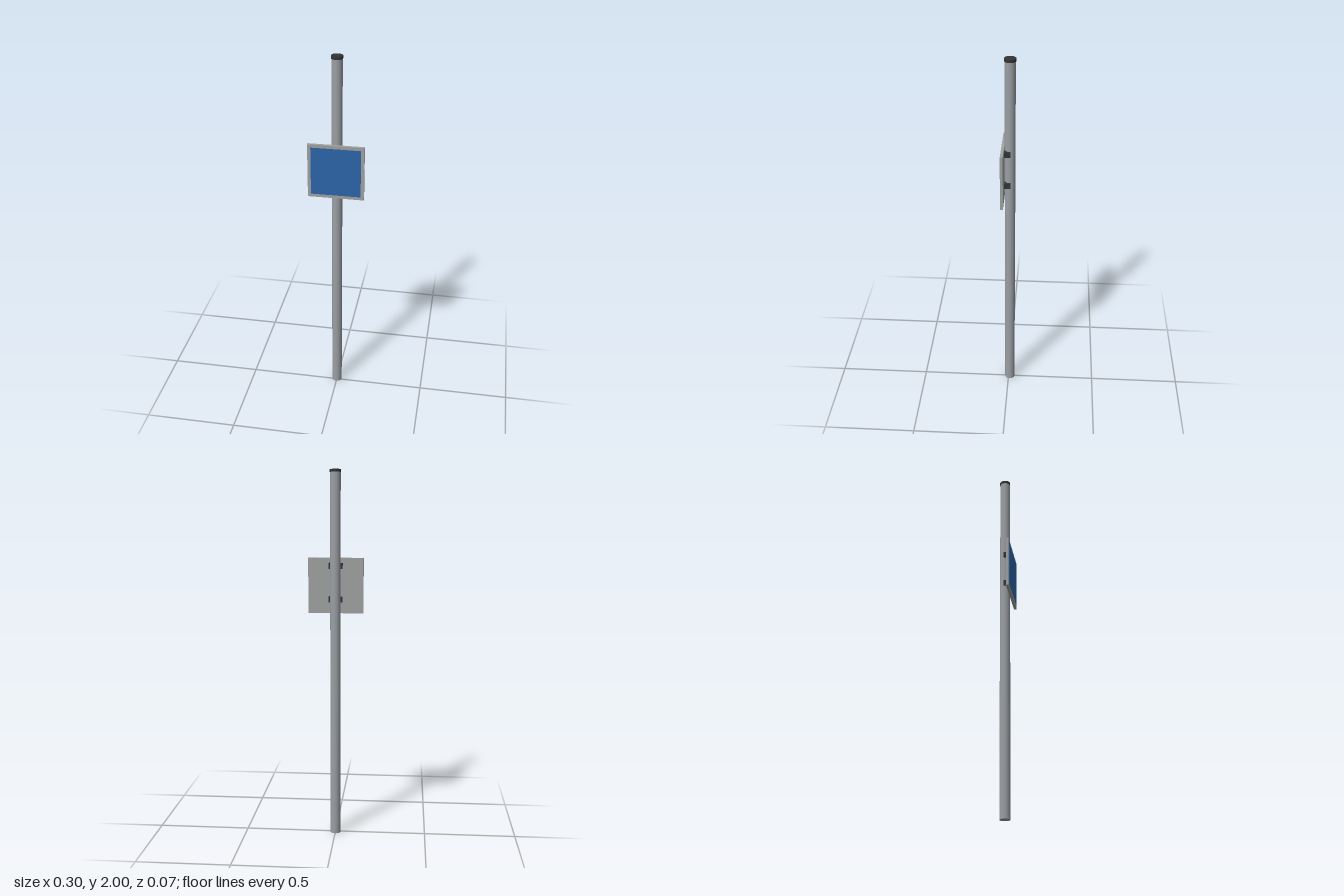
import * as THREE from 'three';

const POLE_Z = -0.008;

export function createModel() {
  const model = new THREE.Group();
  model.name = 'signPost';

  const material = (color) => new THREE.MeshStandardMaterial({ color });
  const steel = material(0x9a9fa3);
  const plate = material(0xa0a2a2);
  const black = material(0x333436);
  const blue = material(0x2b65a8);

  const add = (name, geometry, mat, x, y, z) => {
    const mesh = new THREE.Mesh(geometry, mat);
    mesh.name = name;
    mesh.position.set(x, y, z);
    model.add(mesh);
    return mesh;
  };

  // Round pole with a slightly wider cap
  const poleHeight = 1.985;
  const capHeight = 2 - poleHeight;
  add('pole', new THREE.CylinderGeometry(0.028, 0.028, poleHeight, 32), steel, 0, poleHeight / 2, POLE_Z);
  add('poleCap', new THREE.CylinderGeometry(0.03, 0.03, capHeight, 32), black, 0, poleHeight + capHeight / 2, POLE_Z);

  // Sign plate with a thin coloured face standing just proud of it
  const signY = 1.387;
  add('signPlate', new THREE.BoxGeometry(0.298, 0.298, 0.015), plate, 0, signY, 0.0278);
  add('signFace', new THREE.BoxGeometry(0.264, 0.264, 0.002), blue, 0, signY, 0.0355);

  // Two clamp brackets holding the plate to the pole
  [['upperBracket', 1.495], ['lowerBracket', 1.315]].forEach(([name, y]) => {
    add(name, new THREE.BoxGeometry(0.074, 0.03, 0.032), black, 0, y, 0.0047);
  });

  return model;
}
